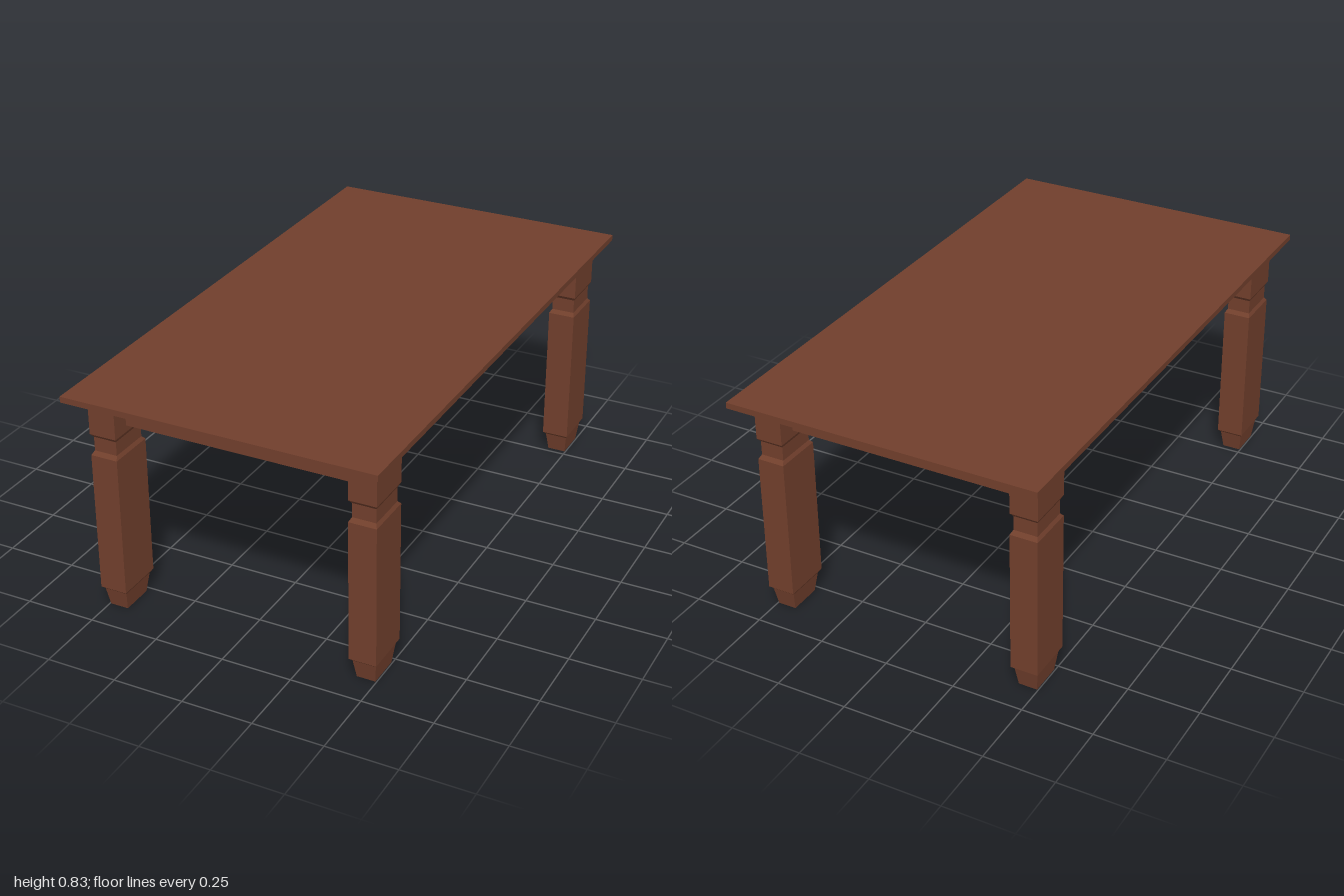
import * as THREE from 'three';

const wood = new THREE.MeshStandardMaterial({ color: 0x713f2c });
wood.name = 'brown wood';

const UNDERSIDE = 0.806, APRON_BOTTOM = 0.685;

// Box given by its limits on each axis
function box(name, x0, x1, y0, y1, z0, z1) {
  const mesh = new THREE.Mesh(new THREE.BoxGeometry(x1 - x0, y1 - y0, z1 - z0), wood);
  mesh.position.set((x0 + x1) / 2, (y0 + y1) / 2, (z0 + z1) / 2);
  mesh.name = name;
  return mesh;
}

// Four-sided leg: [half width, height] from foot to top, deeper than it is wide
function legGeometry() {
  const profile = [
    [0, 0], [0.033, 0], [0.041, 0.068], [0.0485, 0.08], [0.0485, 0.585], [0.0415, 0.598],
    [0.0415, 0.648], [0.0485, 0.662], [0.0485, UNDERSIDE], [0, UNDERSIDE],
  ].map(([half, y]) => new THREE.Vector2(half * Math.SQRT2, y));
  const geo = new THREE.LatheGeometry(profile, 4, Math.PI / 4).toNonIndexed();
  geo.scale(1, 1, 1.77);
  geo.computeVertexNormals();
  return geo;
}

export function createModel() {
  const table = new THREE.Group();
  table.name = 'table';

  table.add(box('tableTop', -0.555, 0.555, UNDERSIDE, 0.827, -1, 1));

  // Legs at the four corners
  const geo = legGeometry();
  for (const sx of [-1, 1]) for (const sz of [-1, 1]) {
    const leg = new THREE.Mesh(geo, wood);
    leg.name = (sz > 0 ? 'front' : 'back') + (sx > 0 ? 'Left' : 'Right') + 'Leg';
    leg.position.set(sx * 0.463, 0, sz * 0.83);
    table.add(leg);
  }

  // Aprons between the legs
  table.add(
    box('leftApron', 0.424, 0.465, APRON_BOTTOM, UNDERSIDE, -0.76, 0.76),
    box('rightApron', -0.465, -0.424, APRON_BOTTOM, UNDERSIDE, -0.76, 0.76),
    box('frontApron', -0.425, 0.425, APRON_BOTTOM, UNDERSIDE, 0.78, 0.85),
    box('backApron', -0.425, 0.425, APRON_BOTTOM, UNDERSIDE, -0.85, -0.78),
  );

  // Closed compartment under the middle of the top
  table.add(box('centreCompartment', -0.424, 0.424, APRON_BOTTOM, UNDERSIDE, -0.533, 0.533));

  return table;
}
